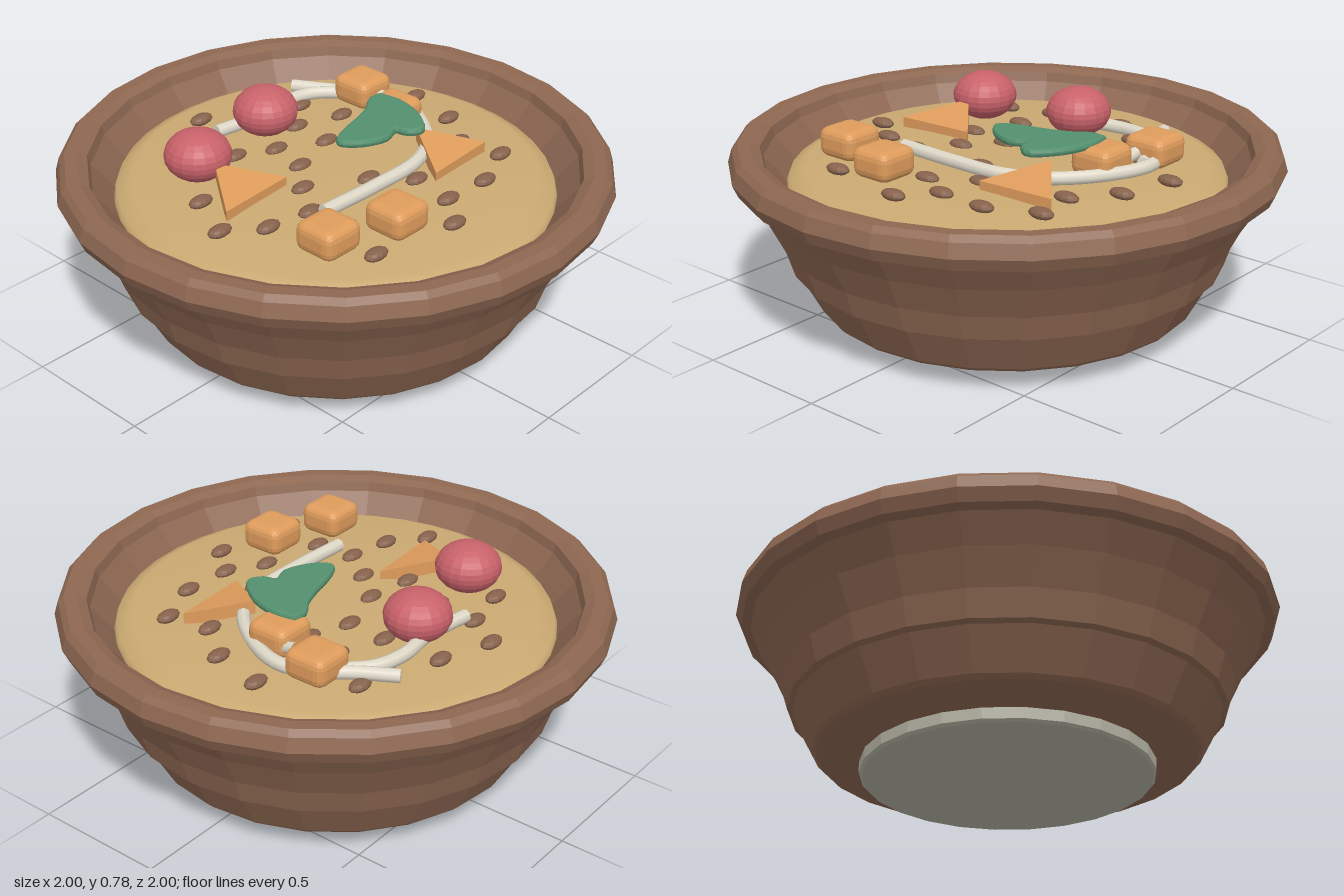
import * as THREE from 'three';
import { RoundedBoxGeometry } from 'three/addons/geometries/RoundedBoxGeometry.js';
import { ConvexGeometry } from 'three/addons/geometries/ConvexGeometry.js';

export function createModel() {
  const root = new THREE.Group();
  const mat = (name, color, flatShading = true) => {
    const m = new THREE.MeshStandardMaterial({ color, flatShading });
    m.name = name;
    return m;
  };
  const clay = mat('clay brown', 0x8e6852);
  const stone = mat('pale stone', 0xb5b3a4);
  const broth = mat('broth tan', 0xcbaa72, false);
  const orange = mat('root orange', 0xdf9c5c);
  const red = mat('radish red', 0xc9626a);
  const green = mat('leaf green', 0x54906f);
  const cream = mat('noodle cream', 0xdfd9c9, false);
  const beanBrown = mat('bean brown', 0x86624c);

  const add = (name, geometry, material, x = 0, y = 0, z = 0) => {
    const mesh = new THREE.Mesh(geometry, material);
    mesh.name = name;
    mesh.position.set(x, y, z);
    root.add(mesh);
    return mesh;
  };
  const lathe = (pts, n) => new THREE.LatheGeometry(pts.map(p => new THREE.Vector2(...p)), n);

  // Bowl: outside wall, rim, then down the inside
  add('bowl', lathe([
    [0, 0.05], [0.53, 0.05], [0.685, 0.08], [0.7, 0.095], [0.775, 0.235], [0.795, 0.245],
    [0.825, 0.34], [0.885, 0.46], [0.945, 0.555], [0.98, 0.565], [1, 0.61], [0.985, 0.66],
    [0.965, 0.68], [0.92, 0.68], [0.885, 0.665], [0.875, 0.63], [0.8, 0.54], [0.7, 0.42], [0, 0.4],
  ], 24), clay);
  add('footRing', lathe([[0, 0], [0.52, 0], [0.53, 0.01], [0.53, 0.065]], 24), stone);

  // Slightly domed soup surface
  add('soup', lathe([[0.795, 0.54], [0.785, 0.565], [0.73, 0.592], [0.4, 0.607], [0, 0.61]], 40), broth);

  // Beans scattered over the soup
  const beans = [
    [-0.09, -0.61], [0.11, -0.54], [-0.18, -0.48], [-0.37, -0.44], [-0.2, -0.31], [-0.06, -0.24],
    [-0.51, -0.16], [-0.27, -0.12], [-0.09, -0.09], [0.11, -0.15], [0.3, -0.25], [0.41, -0.43],
    [0.25, -0.42], [0.61, -0.15], [0.56, 0.06], [0.44, 0.21], [0.47, 0.38], [0.28, 0.46],
    [0.09, 0.45], [-0.02, 0.57], [-0.35, 0.51], [-0.29, 0.32], [-0.05, 0.37], [-0.47, 0.13],
    [-0.6, 0.03], [-0.2, 0.03], [-0.3, 0.16], [0.01, 0.15], [0.12, 0.28], [0.27, -0.1], [0.12, -0.31],
  ];
  const beanGeo = new THREE.SphereGeometry(1, 12, 8).scale(0.05, 0.02, 0.031);
  for (const [x, z] of beans) add('bean', beanGeo, beanBrown, x, 0.612, z);

  // Flattened radishes
  const radishGeo = new THREE.SphereGeometry(0.122, 18, 14).scale(1, 0.75, 1);
  for (const [x, z] of [[-0.38, -0.31], [0.025, -0.38]]) add('radish', radishGeo, red, x, 0.69, z);

  // Diced root vegetable
  const cubeGeo = new RoundedBoxGeometry(0.168, 0.11, 0.168, 2, 0.035);
  for (const [x, z] of [[-0.43, 0.37], [-0.18, 0.45], [0.45, -0.28], [0.38, -0.06]]) {
    add('rootCube', cubeGeo, orange, x, 0.665, z);
  }

  // Triangular wedges, raised at the far corner
  const wedges = [
    [[-0.385, -0.22], [-0.53, -0.01], [-0.22, -0.03]],
    [[0.3, 0.12], [0.16, 0.335], [0.46, 0.315]],
  ];
  for (const tri of wedges) {
    const pts = tri.flatMap(([x, z], i) => {
      const top = i === 0 ? 0.69 : 0.64;
      return [new THREE.Vector3(x, top, z), new THREE.Vector3(x, top - 0.05, z)];
    });
    add('rootWedge', new ConvexGeometry(pts), orange);
  }

  // Noodles with capped ends
  const noodles = [
    [[-0.3, 0.225], [-0.05, 0.235], [0.18, 0.225], [0.33, 0.15], [0.45, 0],
      [0.505, -0.16], [0.47, -0.29], [0.4, -0.38], [0.315, -0.525]],
    [[-0.15, -0.46], [0.04, -0.435], [0.2, -0.45], [0.32, -0.42], [0.4, -0.34], [0.44, -0.24], [0.48, -0.17]],
  ];
  for (const path of noodles) {
    const pts = path.map(([x, z]) => new THREE.Vector3(x, 0.637, z));
    const curve = new THREE.CatmullRomCurve3(pts);
    add('noodle', new THREE.TubeGeometry(curve, 40, 0.025, 8), cream);
    for (const t of [0, 1]) {
      const p = curve.getPoint(t);
      const cap = add('noodleEnd', new THREE.CircleGeometry(0.025, 8), cream, p.x, p.y, p.z);
      cap.lookAt(p.clone().addScaledVector(curve.getTangent(t), t ? 1 : -1));
    }
  }
  // Short bent noodle tip beside the cube
  const tip = new THREE.LineCurve3(new THREE.Vector3(0.43, 0.65, -0.1), new THREE.Vector3(0.44, 0.67, -0.18));
  add('noodleTip', new THREE.TubeGeometry(tip, 1, 0.022, 8), cream);

  // Lobed herb leaf lying flat on top
  const outline = [
    [0.35, -0.1], [0.36, -0.02], [0.33, 0.09], [0.26, 0.18], [0.21, 0.16], [0.19, 0.11], [0.12, 0.13],
    [0.04, 0.1], [-0.01, 0.05], [0, 0.02], [0.08, -0.01], [0.16, -0.03], [0.24, -0.06], [0.3, -0.1],
  ];
  const leafShape = new THREE.Shape();
  leafShape.setFromPoints(new THREE.SplineCurve(
    [...outline, outline[0]].map(([x, z]) => new THREE.Vector2(x, -z))).getPoints(42));
  const leafGeo = new THREE.ExtrudeGeometry(leafShape, {
    depth: 0.006, bevelEnabled: true, bevelThickness: 0.012, bevelSize: 0.012, bevelSegments: 2,
  });
  leafGeo.rotateX(-Math.PI / 2);
  add('herbLeaf', leafGeo, green, 0, 0.717, 0);

  return root;
}
